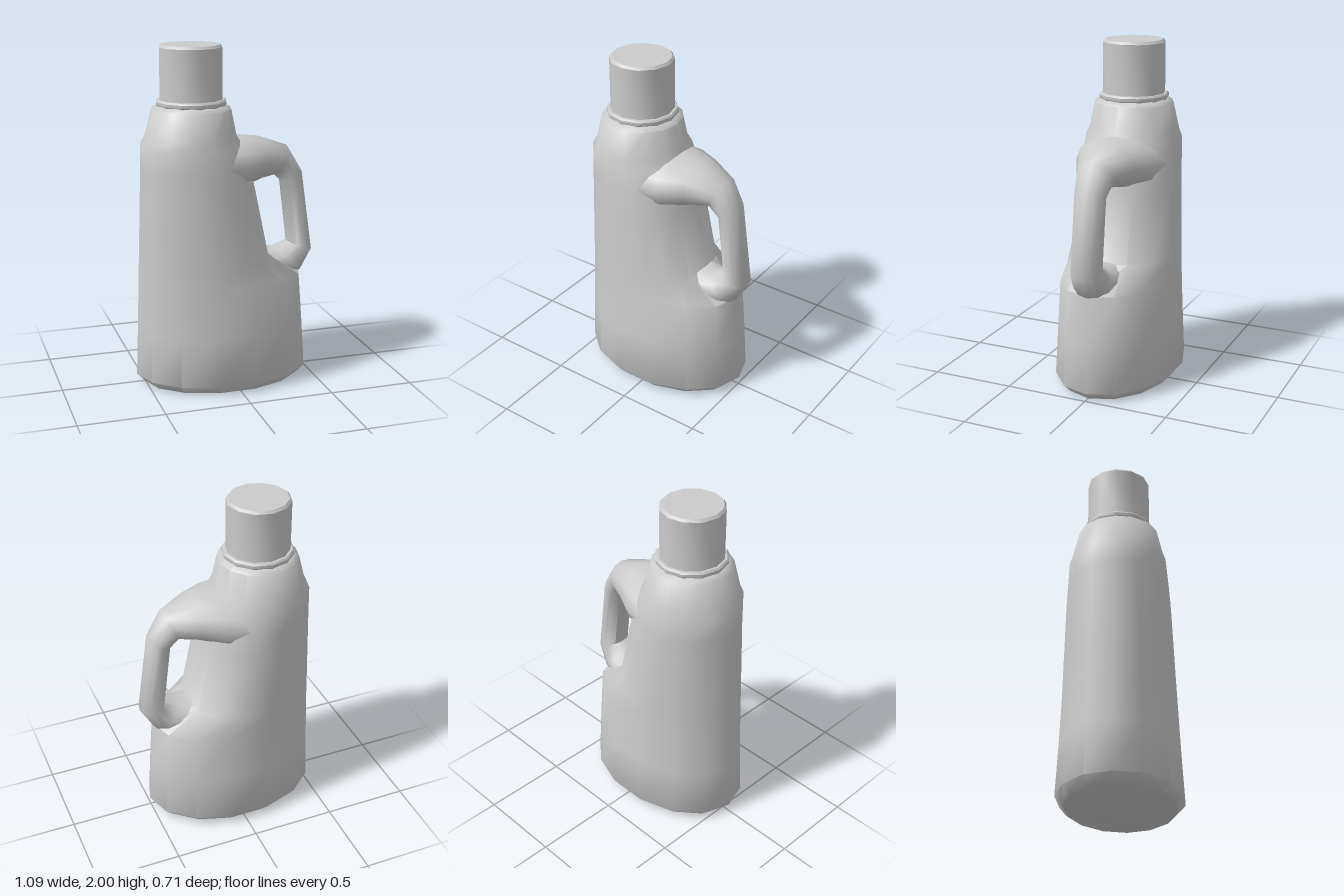
import * as THREE from 'three';
import { toCreasedNormals } from 'three/addons/utils/BufferGeometryUtils.js';

const material = new THREE.MeshStandardMaterial({ color: 0xcccccc });

// Skin a list of closed rings (arrays of [x, y, z]) and close both ends.
function loft(rings, crease) {
  const n = rings[0].length;
  const pos = rings.flat(2);
  const index = [];
  for (let r = 0; r < rings.length - 1; r++) {
    for (let i = 0; i < n; i++) {
      const j = (i + 1) % n;
      const a = r * n + i, b = a + n, c = r * n + j, d = c + n;
      index.push(a, b, c, c, b, d);
    }
  }
  const last = (rings.length - 1) * n;
  for (let i = 1; i < n - 1; i++) {
    index.push(0, i, i + 1);
    index.push(last, last + i + 1, last + i);
  }
  const geo = new THREE.BufferGeometry();
  geo.setAttribute('position', new THREE.Float32BufferAttribute(pos, 3));
  geo.setIndex(index);
  return toCreasedNormals(geo, crease);
}

function addMesh(group, name, geo) {
  const mesh = new THREE.Mesh(geo, material);
  mesh.name = name;
  group.add(mesh);
  return mesh;
}

// Horizontal oval whose left and right halves have their own lengths.
function bodyRing([y, xMin, cx, xMax, rz], sides = 14) {
  return Array.from({ length: sides }, (_, i) => {
    const a = (i / sides) * Math.PI * 2;
    const c = Math.cos(a);
    return [cx + c * (c > 0 ? xMax - cx : cx - xMin), y, Math.sin(a) * rz];
  });
}

// Oval across the handle, from its outer point to its inner point.
function handleRing([ox, oy, ix, iy, halfWidth], sides = 12) {
  return Array.from({ length: sides }, (_, i) => {
    const a = (i / sides) * Math.PI * 2;
    const t = Math.cos(a) / 2;
    return [
      (ox + ix) / 2 + (ox - ix) * t,
      (oy + iy) / 2 + (oy - iy) * t,
      -Math.sin(a) * halfWidth,
    ];
  });
}

export function createModel() {
  const group = new THREE.Group();
  group.name = 'bottle';

  // Body: y, left end, centre, right end, half depth
  const body = [
    [0, -0.50, -0.02, 0.455, 0.32],
    [0.05, -0.55, -0.02, 0.505, 0.365],
    [0.34, -0.54, -0.025, 0.487, 0.348],
    [0.63, -0.53, -0.035, 0.465, 0.334],
    [0.76, -0.526, -0.06, 0.255, 0.328],
    [1.17, -0.512, -0.13, 0.17, 0.31],
    [1.30, -0.508, -0.16, 0.14, 0.30],
    [1.43, -0.505, -0.20, 0.10, 0.288],
    [1.48, -0.475, -0.205, 0.06, 0.27],
    [1.635, -0.437, -0.205, 0.03, 0.235],
    [1.66, -0.40, -0.205, -0.01, 0.197],
  ];
  addMesh(group, 'body', loft(body.map((s) => bodyRing(s)), 0.85));

  // Handle: outer x, y, inner x, y, half width; broad where it leaves the shoulder
  const handle = [
    [-0.06, 1.475, -0.06, 1.14, 0.27],
    [0.06, 1.473, 0.06, 1.16, 0.255],
    [0.20, 1.455, 0.20, 1.205, 0.185],
    [0.38, 1.39, 0.30, 1.22, 0.115],
    [0.47, 1.24, 0.345, 1.175, 0.095],
    [0.54, 0.75, 0.39, 0.80, 0.095],
    [0.465, 0.62, 0.31, 0.77, 0.12],
    [0.30, 0.56, 0.21, 0.78, 0.15],
  ];
  addMesh(group, 'handle', loft(handle.map((s) => handleRing(s)), 1.1));

  // Neck collar and screw cap
  const turned = (name, points) => {
    const profile = points.map(([r, y]) => new THREE.Vector2(r, y));
    const geo = toCreasedNormals(new THREE.LatheGeometry(profile, 12), 0.65);
    addMesh(group, name, geo).position.x = -0.203;
  };
  turned('collar', [[0, 1.65], [0.198, 1.65], [0.206, 1.663], [0.206, 1.68], [0.198, 1.69], [0, 1.69]]);
  turned('cap', [[0, 1.68], [0.184, 1.68], [0.184, 1.985], [0.172, 2], [0, 2]]);

  return group;
}
